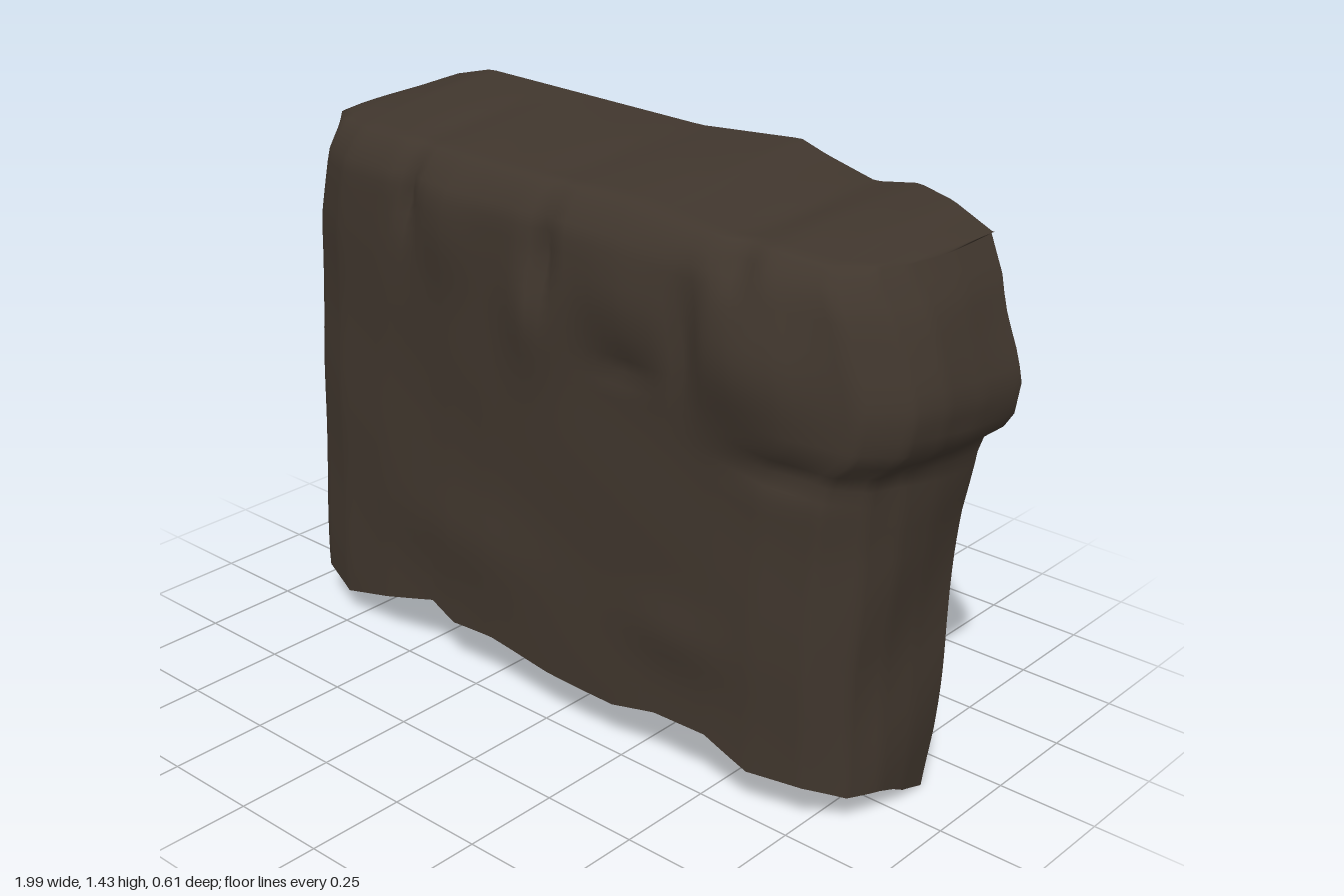
import * as THREE from 'three';

const darkBrown = new THREE.MeshStandardMaterial({ color: 0x40362d, side: THREE.DoubleSide });
darkBrown.name = 'darkBrown';

// Piecewise-linear lookup in a table whose first column is the key
function lookup(table, key, col = 1) {
  if (key <= table[0][0]) return table[0][col];
  for (let i = 1; i < table.length; i++) {
    const a = table[i - 1], b = table[i];
    if (key <= b[0]) return a[col] + (b[col] - a[col]) * (key - a[0]) / (b[0] - a[0]);
  }
  return table[table.length - 1][col];
}

// U-shaped plan: side position (-1..1), z, bottom height, rim height
const plan = [
  [-1, -0.21, 0.14, 1.36], [-1, -0.1, 0.14, 1.36], [-0.995, 0, 0.13, 1.36],
  [-0.96, 0.1, 0.14, 1.36], [-0.9, 0.17, 0.09, 1.36], [-0.78, 0.21, 0.065, 1.365],
  [-0.6, 0.23, 0.12, 1.37], [-0.42, 0.235, 0.175, 1.37], [-0.34, 0.24, 0.14, 1.37],
  [-0.2, 0.245, 0.15, 1.37], [0, 0.245, 0.13, 1.37], [0.25, 0.245, 0.125, 1.37],
  [0.4, 0.245, 0.155, 1.36], [0.58, 0.245, 0.16, 1.35], [0.72, 0.24, 0.11, 1.35],
  [0.88, 0.215, 0.11, 1.34], [0.96, 0.14, 0.08, 1.34], [0.99, 0.05, 0.07, 1.335],
  [1, -0.06, 0.03, 1.33], [1, -0.19, 0, 1.33],
];
// Half widths by height
const leftWidth = [[0.13, 1], [0.45, 0.985], [0.7, 0.97], [0.85, 0.96], [1.1, 0.95], [1.25, 0.91], [1.37, 0.88]];
const rightWidth = [[0, 0.865], [0.4, 0.87], [0.7, 0.88], [0.88, 0.9], [0.94, 0.975], [1.04, 0.995],
  [1.1, 0.98], [1.25, 0.92], [1.33, 0.865]];
// Rear edge of each side wall by height
const leftRear = [[0.14, -0.2], [0.55, -0.2], [0.72, -0.2], [0.93, -0.24], [1.36, -0.25]];
const rightRear = [[0, -0.125], [0.14, -0.15], [0.55, -0.18], [0.9, -0.2], [1.2, -0.21], [1.33, -0.25]];
// Rear edge of the top: x, y, z
const topRear = [[-0.88, 1.36, -0.25], [-0.8, 1.4, -0.27], [-0.68, 1.43, -0.275], [0.03, 1.41, -0.28],
  [0.3, 1.42, -0.315], [0.38, 1.4, -0.305], [0.53, 1.37, -0.29], [0.63, 1.38, -0.315],
  [0.75, 1.375, -0.27], [0.865, 1.335, -0.25]];
// Bulges and creases on the front: x, y, x radius, y radius, depth
const dents = [
  [0.62, 1.1, 0.17, 0.16, 0.05], [0.25, 1.15, 0.15, 0.12, 0.025], [-0.03, 1.07, 0.1, 0.15, 0.03],
  [-0.32, 1.2, 0.12, 0.14, 0.025], [-0.46, 1.25, 0.025, 0.09, -0.03], [0, 1.2, 0.025, 0.12, -0.04],
  [0.43, 1.12, 0.04, 0.12, -0.025], [0.25, 1.0, 0.08, 0.025, -0.015], [0.7, 0.87, 0.12, 0.035, -0.025],
  [0.55, 1.31, 0.05, 0.05, -0.03], [-0.3, 0.4, 0.3, 0.1, 0.008], [0.4, 0.38, 0.15, 0.08, 0.015],
];

function wallPoint(p, t) {
  const [s, zBase, low, high] = p;
  const y = low + (high - low) * t;
  const left = s < 0;
  let x = s * lookup(left ? leftWidth : rightWidth, y);
  let z = zBase;
  if (z < 0) z *= lookup(left ? leftRear : rightRear, y) / (left ? -0.21 : -0.19);
  const front = THREE.MathUtils.smoothstep(zBase, 0.05, 0.22);
  for (const [dx, dy, rx, ry, depth] of dents) {
    z += front * depth * Math.exp(-(((x - dx) / rx) ** 2) - ((y - dy) / ry) ** 2);
  }
  // slight cloth-like waviness and a softly rounded rim
  z += front * 0.005 * Math.sin(9 * x + 4 * y) * Math.sin(8 * y - 3 * x);
  x += (1 - front) * 0.006 * Math.sin(11 * y + 9 * z);
  z -= front * 0.055 * THREE.MathUtils.smoothstep(y, 1.25, 1.38) ** 2;
  return new THREE.Vector3(x, y, z);
}

// Top sheet runs from the rim back to the rear edge
function topPoint(p, t) {
  const rim = wallPoint(p, 1);
  const rear = new THREE.Vector3(rim.x, lookup(topRear, rim.x, 1), lookup(topRear, rim.x, 2));
  const out = rim.clone().lerp(rear, t);
  const bow = Math.sin(Math.PI * t) * Math.min(1, Math.max(0, (rim.z + 0.2) / 0.4));
  const fold = Math.exp(-(((rim.x + 0.45) / 0.05) ** 2)) + Math.exp(-((rim.x / 0.06) ** 2))
    + Math.exp(-(((rim.x - 0.53) / 0.05) ** 2));
  out.y += bow * (0.008 - 0.014 * fold * (1 - t));
  return out;
}

// Grid surface over the plan columns
function sheet(name, columns, rows, pointAt) {
  const positions = [], index = [];
  for (let j = 0; j <= rows; j++) {
    for (const c of columns) positions.push(...pointAt(c, j / rows).toArray());
  }
  const n = columns.length;
  for (let j = 0; j < rows; j++) {
    for (let i = 0; i < n - 1; i++) {
      const a = j * n + i, b = a + 1, c = a + n, d = c + 1;
      index.push(a, b, d, a, d, c);
    }
  }
  const g = new THREE.BufferGeometry();
  g.setAttribute('position', new THREE.Float32BufferAttribute(positions, 3));
  g.setIndex(index);
  g.computeVertexNormals();
  const mesh = new THREE.Mesh(g, darkBrown);
  mesh.name = name;
  return mesh;
}

export function createModel() {
  const group = new THREE.Group();
  group.name = 'drapedCover';
  const columns = [];
  const steps = 6;
  for (let i = 0; i < plan.length - 1; i++) {
    for (let k = 0; k < steps; k++) {
      columns.push(plan[i].map((v, c) => v + (plan[i + 1][c] - v) * k / steps));
    }
  }
  columns.push(plan[plan.length - 1]);
  // one continuous skin: wall rows first, then the top, so the rim stays smooth
  const wallPart = 0.75;
  group.add(sheet('coverSkin', columns, 48, (c, t) => (
    t <= wallPart ? wallPoint(c, t / wallPart) : topPoint(c, (t - wallPart) / (1 - wallPart))
  )));
  return group;
}
